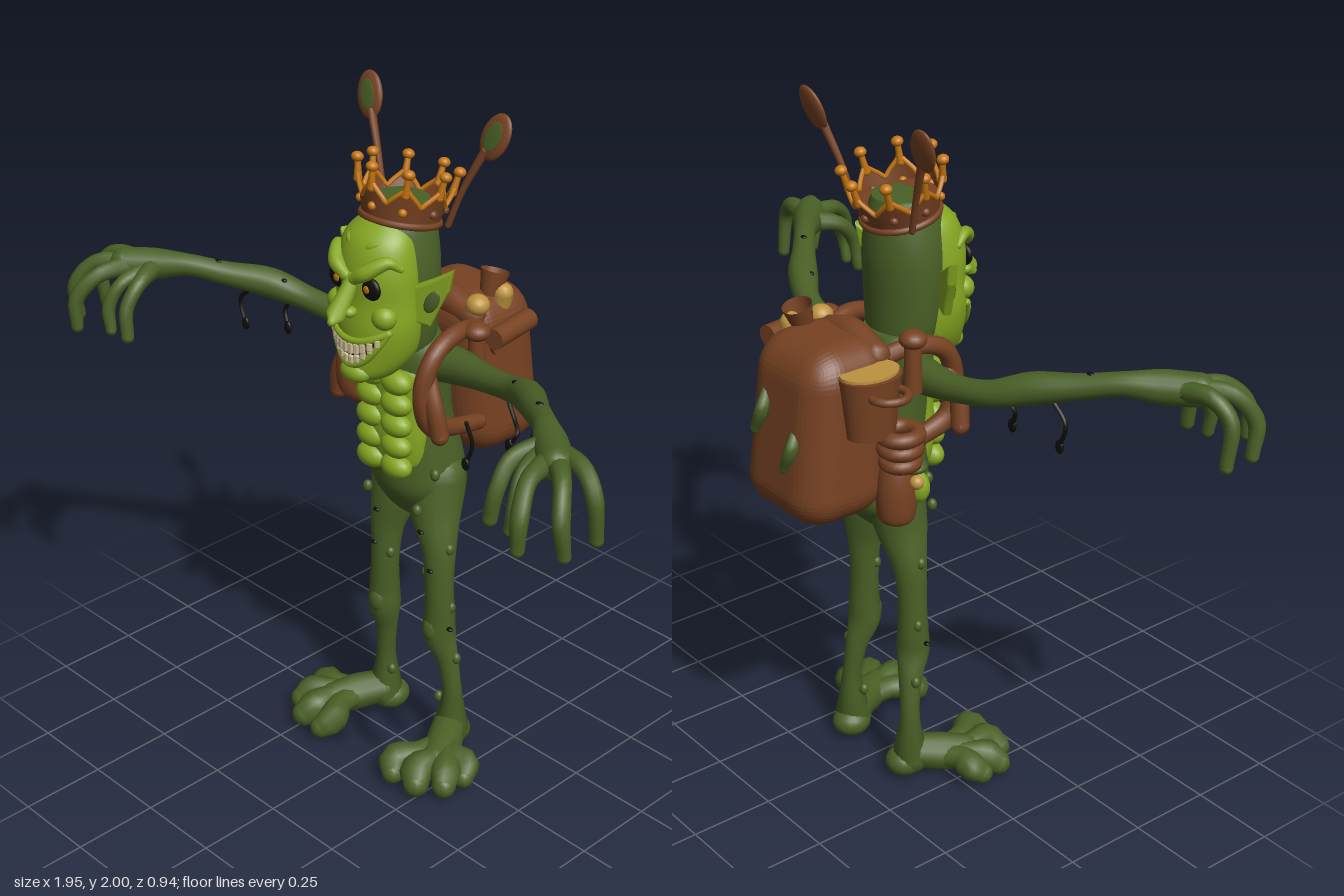
import * as THREE from 'three';
import { mergeVertices, mergeGeometries } from 'three/addons/utils/BufferGeometryUtils.js';
import { RoundedBoxGeometry } from 'three/addons/geometries/RoundedBoxGeometry.js';

const mat = (name, color, side = THREE.FrontSide) => Object.assign(new THREE.MeshStandardMaterial({ color, side }), { name });
const V = (x, y, z) => new THREE.Vector3(x, y, z);

// smooth interpolation through rows of numbers, u from 0 to 1
function sample(rows, u) {
  const n = rows.length - 1, i = Math.min(n - 1, Math.floor(u * n)), t = u * n - i;
  const a = rows[Math.max(0, i - 1)], b = rows[i], c = rows[i + 1], d = rows[Math.min(n, i + 2)];
  return b.map((v, k) => v + 0.5 * t * (c[k] - a[k] + t * (2 * a[k] - 5 * v + 4 * c[k] - d[k] + t * (3 * (v - c[k]) + d[k] - a[k]))));
}
// stacked ellipses: rows of [y, centre z, half width, half depth]
function loft(rows) {
  let g = new THREE.CylinderGeometry(1, 1, 1, 36, 40);
  g.deleteAttribute('uv'); g.deleteAttribute('normal');
  const p = g.attributes.position;
  for (let i = 0; i < p.count; i++) {
    const [y, cz, rx, rz] = sample(rows, THREE.MathUtils.clamp(p.getY(i) + 0.5, 0, 1));
    p.setXYZ(i, p.getX(i) * rx, y, cz + p.getZ(i) * rz);
  }
  g = mergeVertices(g);
  g.computeVertexNormals();
  return g;
}
// tapering tube with round ends through points [x, y, z, radius]
function limb(pts, s = 1, segs = 24, sides = 12) {
  const curve = new THREE.CatmullRomCurve3(pts.map(q => V(q[0] * s, q[1], q[2])));
  const g = new THREE.TubeGeometry(curve, segs, 1, sides), p = g.attributes.position, v = V();
  for (let i = 0; i < p.count; i++) {
    const u = Math.floor(i / (sides + 1)) / segs, c = curve.getPointAt(u);
    const r = sample(pts.map(q => [q[3]]), curve.getUtoTmapping(u))[0];
    v.fromBufferAttribute(p, i).sub(c).multiplyScalar(r).add(c);
    p.setXYZ(i, v.x, v.y, v.z);
  }
  const ends = [pts[0], pts[pts.length - 1]].map(q => new THREE.SphereGeometry(q[3], sides, 8).translate(q[0] * s, q[1], q[2]));
  return mergeGeometries([g, ...ends]);
}
const ball = (x, y, z, rx, ry = rx, rz = rx) => new THREE.SphereGeometry(1, 18, 12).scale(rx, ry, rz).translate(x, y, z);

const FACE = [[1.25, .1, .02, .02], [1.28, .09, .07, .08], [1.34, .07, .11, .105], [1.42, .07, .128, .108], [1.5, .07, .125, .1],
  [1.58, .07, .122, .1], [1.66, .06, .103, .085], [1.71, .04, .06, .05]];
function faceZ(x, y) {
  let lo = 0, hi = 1;
  for (let i = 0; i < 20; i++) { const m = (lo + hi) / 2; if (sample(FACE, m)[0] < y) lo = m; else hi = m; }
  const [, cz, rx, rz] = sample(FACE, lo);
  return cz + rz * Math.sqrt(Math.max(0, 1 - (x / rx) ** 2));
}

export function createModel() {
  const root = new THREE.Group();
  const skin = mat('dark green skin', 0x4a6026), light = mat('light green skin', 0x86a722), brown = mat('brown leather', 0x774222, THREE.DoubleSide),
    orange = mat('orange metal', 0xc4750f), tan = mat('tan wood', 0xbd9340), cream = mat('cream teeth', 0xc9bb92), black = mat('black', 0x0d0e09);
  const add = (name, geo, m, parent = root) => {
    const mesh = new THREE.Mesh(geo, m); mesh.name = name; parent.add(mesh); return mesh;
  };

  // torso and head
  add('torso', loft([[.77, -.07, .03, .03], [.81, -.075, .09, .075], [.88, -.085, .135, .125], [.96, -.08, .13, .13], [1.08, -.06, .115, .115],
    [1.2, -.05, .12, .105], [1.3, -.04, .13, .095], [1.37, -.03, .095, .08]]), skin);
  add('head', loft([[1.27, -.02, .08, .07], [1.36, -.01, .11, .09], [1.46, 0, .122, .105], [1.58, 0, .122, .112], [1.68, 0, .104, .106], [1.74, -.01, .08, .08]]), skin);

  // ribbed light belly
  add('belly', loft([[.93, 0, .04, .02], [.97, 0, .09, .05], [1.05, 0, .105, .065], [1.15, 0, .105, .06], [1.25, 0, .11, .06], [1.3, 0, .07, .05]]), light);
  for (const s of [1, -1]) for (let i = 0; i < 5; i++)
    add('bellyMuscle', ball(s * .048, .975 + i * .065, .05, .052, .036, .036), light);

  // face
  add('face', loft(FACE), light);
  add('nose', limb([[0, 1.565, .16, .02], [0, 1.52, .19, .024], [0, 1.475, .225, .027], [0, 1.46, .24, .012]]), light);
  add('chin', ball(0, 1.29, .155, .05, .032, .035), light);
  const lipTop = u => 1.39 + .035 * u * u, lipLow = u => 1.318 + .107 * u * u, MW = .104;
  const mouth = new THREE.PlaneGeometry(2, 1, 28, 6), mp = mouth.attributes.position;
  for (let i = 0; i < mp.count; i++) {
    const u = mp.getX(i), y = THREE.MathUtils.lerp(lipLow(u), lipTop(u), mp.getY(i) + .5);
    mp.setXYZ(i, u * MW, y, faceZ(u * MW, y) + .004);
  }
  mouth.computeVertexNormals();
  add('mouth', mouth, black);
  for (const lip of [lipTop, lipLow]) {
    const pts = [-1, -.75, -.5, -.25, 0, .25, .5, .75, 1].map(u => [u * MW, lip(u), faceZ(u * MW, lip(u)), .011]);
    add('lip', limb(pts, 1, 32, 8), light);
    for (let i = 0; i < 10; i++) {
      const u = -.81 + i * .18, top = lip === lipTop, h = (top ? .034 : .026) * (1 - .45 * u * u), y = lip(u) + (top ? -h / 2 - .004 : h / 2 + .004);
      const tooth = add('tooth', new RoundedBoxGeometry(.0165, h, .014, 2, .005), cream);
      tooth.position.set(u * MW, y, faceZ(u * MW, y) + .005);
      tooth.rotation.y = u * .9;
    }
  }
  for (const s of [1, -1]) {
    add('eyeSocket', ball(s * .06, 1.548, faceZ(.06, 1.548) - .004, .036, .032, .014), black);
    add('pupil', ball(s * .057, 1.548, faceZ(.057, 1.548) + .008, .011, .011, .004), orange);
    add('brow', limb([[.018, 1.57, .172, .017], [.055, 1.595, .168, .022], [.095, 1.622, .125, .017], [.11, 1.6, .095, .01]], s), light);
    add('foreheadFold', limb([[.01, 1.63, .14, .009], [.04, 1.655, .132, .011], [.075, 1.665, .1, .007]], s), light);
    add('cheek', ball(s * .085, 1.465, .13, .036, .034, .034), light);
    add('nostril', ball(s * .023, 1.483, .195, .018, .015, .02), light);
    // ears
    const e = new THREE.Shape([[0, -.06], [.035, -.065], [.055, -.02], [.082, .035], [.095, .085], [.05, .055], [0, .03]].map(q => new THREE.Vector2(q[0] * s, q[1])));
    const ear = add('ear', new THREE.ExtrudeGeometry(e, { depth: .012, bevelEnabled: true, bevelSize: .008, bevelThickness: .008, bevelSegments: 3 }), light);
    ear.position.set(s * .115, 1.505, .035);
    ear.rotation.y = s * .45;
    const hollow = add('earHollow', ball(0, 0, 0, .02, .036, .008), skin, ear);
    hollow.position.set(s * .045, 0, .018);
    hollow.rotation.z = -s * .45;
  }

  // arms, hands, legs and feet
  for (const s of [1, -1]) {
    add('arm', limb([[.06, 1.28, -.05, .06], [.16, 1.285, -.065, .052], [.28, 1.29, -.06, .038], [.4, 1.31, -.035, .036], [.5, 1.345, .02, .044],
      [.6, 1.365, .095, .035], [.69, 1.385, .165, .033], [.76, 1.385, .225, .046], [.83, 1.385, .285, .045]], s, 48, 16), skin);
    const fingers = [
      [[.75, 1.385, .24, .03], [.72, 1.365, .32, .023], [.72, 1.3, .37, .021], [.71, 1.22, .38, .019]],
      [[.81, 1.385, .29, .03], [.83, 1.375, .38, .023], [.86, 1.31, .44, .023], [.86, 1.225, .445, .018]],
      [[.83, 1.39, .28, .03], [.9, 1.38, .34, .023], [.94, 1.31, .385, .023], [.945, 1.215, .375, .018]],
      [[.82, 1.39, .25, .03], [.9, 1.39, .265, .024], [.95, 1.34, .28, .022], [.955, 1.22, .27, .018]],
      [[.76, 1.38, .25, .028], [.775, 1.355, .34, .02], [.79, 1.29, .38, .02], [.78, 1.22, .385, .016]]];
    for (const f of fingers) add('finger', limb(f, s, 16, 10), skin);
    add('leg', limb([[.07, .9, -.09, .085], [.08, .8, -.075, .075], [.105, .68, -.065, .05], [.112, .56, -.06, .042], [.115, .46, -.06, .046],
      [.115, .4, -.06, .048], [.128, .31, -.08, .033], [.14, .2, -.09, .029], [.14, .12, -.09, .042], [.14, .06, -.085, .055]], s, 48, 16), skin);
    add('kneecap', ball(s * .112, .425, -.035, .032, .045, .03), skin);
    add('heel', ball(s * .13, .045, -.1, .055, .045, .06), skin);
    add('instep', limb([[.14, .075, -.08, .05], [.185, .065, -.01, .055], [.22, .055, .06, .05]], s), skin);
    for (const [x, z, r] of [[.305, .025, .036], [.295, .095, .04], [.23, .145, .043], [.145, .155, .038]])
      add('toe', limb([[.175, .06, -.03, .035], [.09 + x * .55, .068, z * .5, .036], [x - .01, .062, z - .012, r + .008], [x + .01, .038, z + .015, r - .004]], s, 14, 10), skin);
    // warts and torn scraps
    for (const [x, y, z] of [[.15, .7, -.06], [.075, .6, -.045], [.15, .5, -.07], [.16, .32, -.085], [.13, .95, -.02], [.1, .84, .02], [.1, .16, -.075]])
      add('wart', ball(s * x, y, z, .014, .018, .014), skin);
    for (const [x, y, z] of [[.09, .755, -.005], [.115, .63, -.018], [.165, .44, -.05], [.45, 1.365, .012], [.62, 1.402, .11]])
      add('crack', ball(s * x, y, z, .012, .006, .008), black);
    // spoons behind the crown
    add('spoonHandle', limb([[.12, 1.68, -.07, .009], [.155, 1.78, -.085, .009], [.21, 1.9, -.11, .012]], s, 12, 8), brown);
    const bowl = add('spoonBowl', ball(0, 0, 0, .046, .066, .014), brown);
    bowl.position.set(s * .232, 1.938, -.125);
    bowl.rotation.set(-.28, 0, -s * .35);
    const mold = add('spoonStain', ball(0, 0, 0, .026, .042, .003), skin, bowl);
    mold.position.set(0, 0, .0125);
    // straps
    add('strap', limb([[.12, 1.35, -.18, .024], [.145, 1.37, -.08, .026], [.155, 1.34, .01, .027], [.15, 1.25, .05, .028], [.155, 1.14, .03, .03],
      [.138, 1.09, -.06, .026], [.12, 1.05, -.2, .024]], s, 36, 10), brown);
    add('strapEnd', limb([[.155, 1.27, .03, .022], [.185, 1.2, .04, .026], [.2, 1.12, .035, .026]], s, 12, 10), brown);
  }

  // hanging vines
  for (const v of [[[.39, 1.27, -.03], [.43, 1.24, -.01], [.46, 1.22, .01], [.44, 1.18, .02]], [[.53, 1.33, .04], [.56, 1.28, .06], [.545, 1.22, .07]],
    [[-.44, 1.3, -.01], [-.46, 1.27, 0], [-.44, 1.22, .01]], [[-.55, 1.32, .05], [-.6, 1.27, .05], [-.58, 1.2, .05]], [[.17, 1.1, -.1], [.185, 1.03, -.11], [.17, .97, -.1]]]) {
    add('vine', limb(v.map(q => [...q, .006]), 1, 12, 6), black);
    const q = v[v.length - 1];
    add('vineLeaf', ball(q[0], q[1], q[2], .014, .02, .008), black);
  }

  // crown: zigzag band, lid, edge wire and beads
  const crown = new THREE.Group(); crown.name = 'crown';
  crown.position.set(0, 1.685, -.012); crown.rotation.x = -.22; root.add(crown);
  const zig = a => .055 + .045 * Math.abs(((a / (Math.PI / 4)) % 1 + 1) % 1 * 2 - 1);
  const rad = h => .104 + h * .25;
  const band = new THREE.CylinderGeometry(1, 1, 1, 64, 1, true), bp = band.attributes.position;
  for (let i = 0; i < bp.count; i++) {
    const a = Math.atan2(bp.getX(i), bp.getZ(i)), h = bp.getY(i) > 0 ? zig(a) : 0;
    bp.setXYZ(i, Math.sin(a) * rad(h), h, Math.cos(a) * rad(h));
  }
  band.computeVertexNormals();
  add('crownBand', band, brown, crown);
  add('crownLid', new THREE.CylinderGeometry(.108, .104, .025, 40).translate(0, .03, 0), brown, crown);
  add('crownRim', new THREE.TorusGeometry(.105, .01, 8, 40).rotateX(Math.PI / 2), brown, crown);
  const edge = [...Array(64).keys()].map(i => { const a = i * Math.PI / 32, h = zig(a); return V(Math.sin(a) * rad(h), h, Math.cos(a) * rad(h)); });
  add('crownEdge', new THREE.TubeGeometry(new THREE.CatmullRomCurve3(edge, true), 128, .007, 6, true), orange, crown);
  for (let i = 0; i < 8; i++) {
    const a = i * Math.PI / 4, x = Math.sin(a), z = Math.cos(a);
    add('crownSpike', limb([[x * .126, .085, z * .126, .012], [x * .134, .135, z * .134, .008]], 1, 4, 8), orange, crown);
    add('crownBead', ball(x * .136, .142, z * .136, .017, .014, .017), orange, crown);
    add('crownGem', ball(x * .113, .036, z * .113, .012), z > .5 ? orange : brown, crown);
  }

  // backpack, leaning slightly forward at the top
  const pack = new RoundedBoxGeometry(.34, .5, .285, 6, .1), pp = pack.attributes.position;
  for (let i = 0; i < pp.count; i++) {
    const y = pp.getY(i);
    pp.setXYZ(i, pp.getX(i) * (1 - y * .25), y, pp.getZ(i) * (1 - y * .15) + y * .09);
  }
  pack.computeVertexNormals();
  add('backpack', pack.translate(-.02, 1.17, -.305), brown);
  add('packFlap', limb([[-.13, 1.37, -.2, .04], [-.02, 1.395, -.2, .045], [.09, 1.37, -.2, .04]]), brown);
  for (const [x, y] of [[.05, 1.2], [-.08, 1.13]])
    add('packLeaf', limb([[x, y + .07, -.425, .014], [x - .02, y + .03, -.455, .02], [x + .015, y - .04, -.455, .014]], 1, 12, 8), skin);
  add('packButton', new THREE.CylinderGeometry(.03, .03, .02, 20).rotateZ(Math.PI / 2).translate(.145, 1.28, -.25), brown);

  // gear on the left side and top
  add('bedroll', new THREE.CylinderGeometry(.03, .03, .17, 18).rotateX(Math.PI / 2).rotateY(.15).translate(.2, 1.35, -.24), brown);
  add('cup', new THREE.CylinderGeometry(.042, .028, .07, 20, 1, true).rotateX(-.3).translate(.08, 1.435, -.29), brown);
  add('rolledMap', limb([[.1, 1.37, -.3, .03], [.11, 1.41, -.3, .03]]), tan);
  add('bun', ball(.11, 1.405, -.2, .034, .03, .034), tan);
  for (const [x, h] of [[.175, 1.37], [-.2, 1.42]]) {
    add('stick', new THREE.CylinderGeometry(.023, .026, .15, 14).translate(x, h - .075, -.13), brown);
    add('stickKnob', ball(x, h, -.13, .038, .026, .038), brown);
  }

  // gear on the right side
  add('bucket', new THREE.CylinderGeometry(.07, .055, .17, 28).scale(1, 1, 1.3).translate(-.2, 1.275, -.27), brown);
  add('bucketLid', new THREE.CylinderGeometry(.062, .062, .008, 28).scale(1, 1, 1.4).translate(-.195, 1.364, -.27), tan);
  add('bucketHandle', new THREE.TorusGeometry(.05, .012, 8, 20).rotateX(Math.PI / 2).translate(-.265, 1.32, -.26), brown);
  for (let i = 0; i < 3; i++)
    add('ropeCoil', new THREE.TorusGeometry(.038 + .005 * i, .022, 10, 24).rotateX(Math.PI / 2).translate(-.235, 1.1 + i * .04, -.2), brown);
  add('canteen', loft([[.9, -.18, .02, .02], [.92, -.18, .05, .05], [1, -.18, .056, .056], [1.07, -.18, .045, .045], [1.1, -.18, .02, .02]]).translate(-.205, 0, -.01), brown);
  add('herbPouch', ball(-.238, 1.005, -.14, .034, .045, .03), light);
  add('herbLeaves', ball(-.235, 1.075, -.16, .045, .02, .04), skin);
  add('canteenStopper', ball(-.268, 1.04, -.17, .02), tan);
  return root;
}
